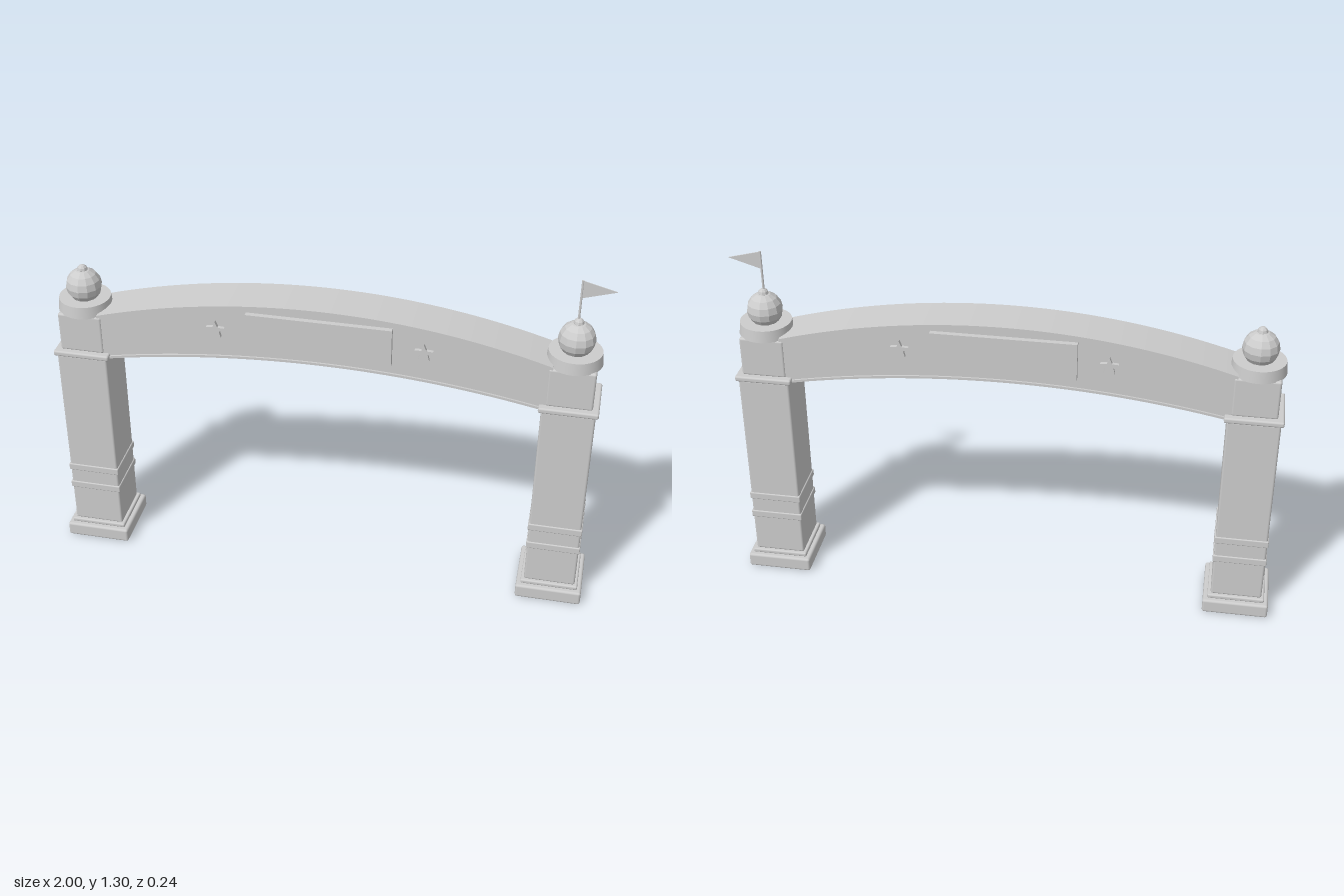
import * as THREE from 'three';
import { RoundedBoxGeometry } from 'three/addons/geometries/RoundedBoxGeometry.js';

const stone = new THREE.MeshStandardMaterial({ color: 0xcccccc });
stone.name = 'pale grey';
const facetedStone = stone.clone();
facetedStone.flatShading = true;
const cloth = stone.clone();
cloth.side = THREE.DoubleSide;

function add(parent, name, geometry, x = 0, y = 0, z = 0, material = stone) {
  const mesh = new THREE.Mesh(geometry, material);
  mesh.name = name;
  mesh.position.set(x, y, z);
  parent.add(mesh);
  return mesh;
}

// Square block spanning y0..y1 with softened edges
function block(parent, name, half, y0, y1, radius) {
  const h = y1 - y0;
  add(parent, name, new RoundedBoxGeometry(half * 2, h, half * 2, 2, Math.min(radius, h * 0.45)), 0, (y0 + y1) / 2);
}

// Shape extruded symmetrically about z = 0
function slab(shape, halfDepth) {
  const g = new THREE.ExtrudeGeometry(shape, { depth: halfDepth * 2, bevelEnabled: false, curveSegments: 1 });
  return g.translate(0, 0, -halfDepth);
}

// Curved band between two heights given as functions of x
function band(top, bottom, halfLength, halfDepth) {
  const pts = [];
  const n = 40;
  for (let i = 0; i <= n; i++) {
    const x = -halfLength + (2 * halfLength * i) / n;
    pts.push(new THREE.Vector2(x, bottom(x)));
  }
  for (let i = n; i >= 0; i--) {
    const x = -halfLength + (2 * halfLength * i) / n;
    pts.push(new THREE.Vector2(x, top(x)));
  }
  return slab(new THREE.Shape(pts), halfDepth);
}

function makePillar() {
  const p = new THREE.Group();
  block(p, 'base', 0.121, 0, 0.055, 0.009);
  block(p, 'baseMoulding', 0.105, 0.055, 0.072, 0.006);
  block(p, 'shaft', 0.094, 0.07, 0.827, 0.008);
  block(p, 'lowerBand', 0.098, 0.222, 0.25, 0.004);
  block(p, 'upperBand', 0.098, 0.305, 0.333, 0.004);
  block(p, 'capital', 0.104, 0.825, 0.846, 0.007);
  block(p, 'upperBlock', 0.081, 0.843, 0.993, 0.008);

  // Round collar, faceted ball and small knob
  add(p, 'collar', new THREE.CylinderGeometry(0.093, 0.098, 0.044, 32), 0, 1.012);
  add(p, 'ball', new THREE.SphereGeometry(0.065, 12, 8), 0, 1.078, 0, facetedStone);
  add(p, 'knob', new THREE.SphereGeometry(0.019, 8, 6), 0, 1.14, 0, facetedStone);
  return p;
}

export function createModel() {
  const model = new THREE.Group();
  model.name = 'archGate';

  for (const side of [-1, 1]) {
    const pillar = makePillar();
    pillar.name = side > 0 ? 'leftPillar' : 'rightPillar';
    pillar.position.x = side * 0.878;
    model.add(pillar);
  }

  // Arched beam with a thin raised rim along both edges
  const arc = (peak, r) => (x) => peak - r + Math.sqrt(r * r - x * x);
  const top = arc(1.122, 2.84);
  const bottom = arc(0.903, 4.1);
  const topInner = (x) => top(x) - 0.011;
  const bottomInner = (x) => bottom(x) + 0.009;
  add(model, 'archBeam', band(topInner, bottomInner, 0.82, 0.077));
  add(model, 'archTopRim', band(top, topInner, 0.81, 0.084));
  add(model, 'archBottomRim', band(bottomInner, bottom, 0.81, 0.084));

  // Blank sign panel, showing on both faces
  add(model, 'signPanel', new THREE.BoxGeometry(0.518, 0.142, 0.192), 0, 1.013);

  // Stars on both faces
  const starPoints = [];
  for (let i = 0; i < 10; i++) {
    const a = Math.PI / 2 + (i * Math.PI) / 5;
    const r = i % 2 ? 0.015 : 0.034;
    starPoints.push(new THREE.Vector2(r * Math.cos(a), r * Math.sin(a)));
  }
  const star = slab(new THREE.Shape(starPoints), 0.09);
  for (const x of [-0.37, 0.37]) add(model, 'star', star, x, 1.004);

  // Pennant on the left pillar
  add(model, 'flagPole', new THREE.CylinderGeometry(0.004, 0.004, 0.155, 10), 0.876, 1.226);
  const pennant = new THREE.Shape([
    new THREE.Vector2(0, 0),
    new THREE.Vector2(0.117, 0.036),
    new THREE.Vector2(0, 0.066),
  ]);
  add(model, 'flag', slab(pennant, 0.002), 0.876, 1.236, 0, cloth);

  return model;
}
